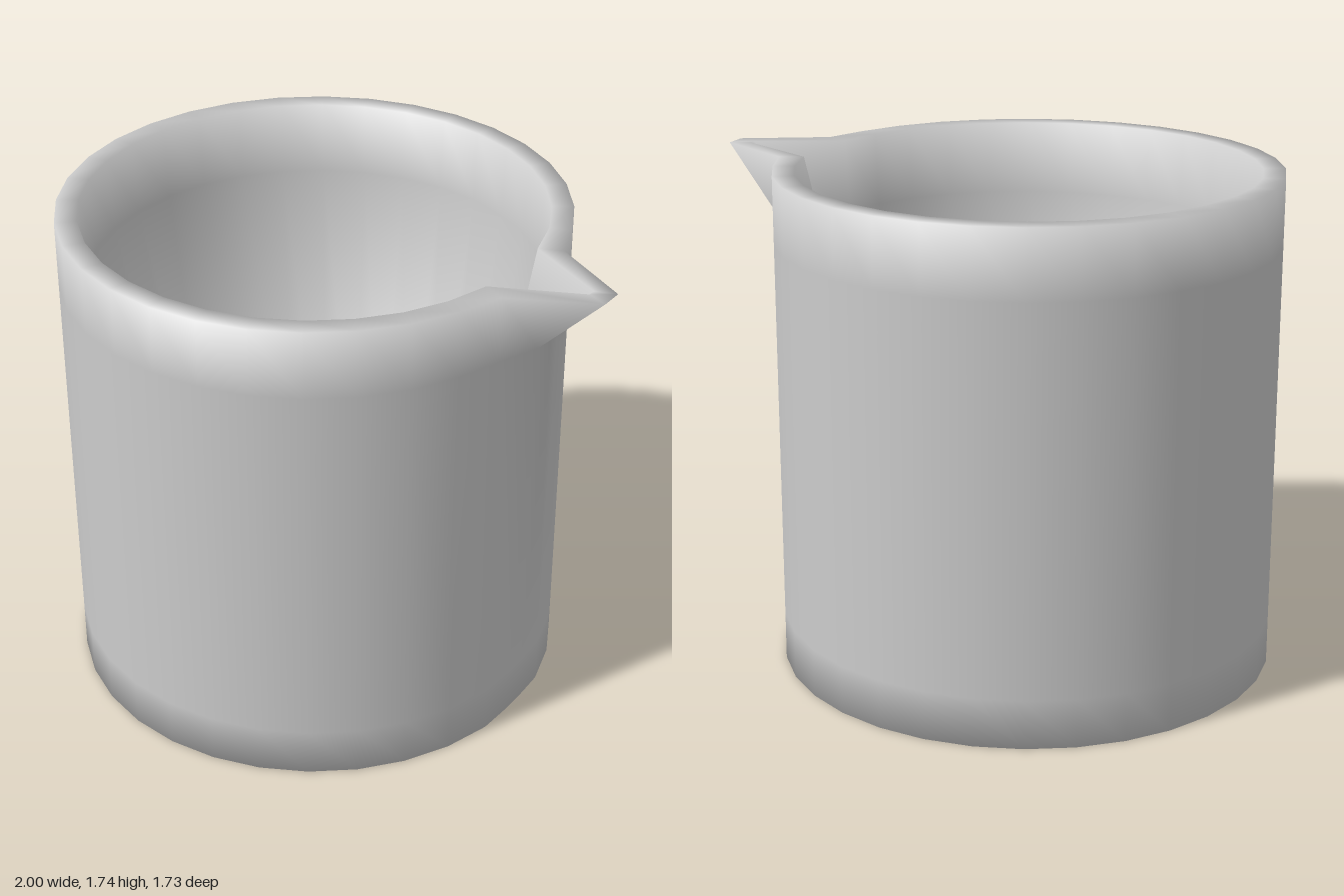
import * as THREE from 'three';

const SIDES = 32;
const CENTRE_X = -0.135;

// One horizontal loop of the beaker wall. The two points of the lip sit at
// lipX, +-lipW; the neighbouring pair is widened by "spread" to flare the spout.
function loop(y, radius, lipX, lipW, spread = 0) {
  const points = [[lipX, y, lipW]];
  for (let i = 1; i < SIDES; i++) {
    const a = (i / SIDES) * Math.PI * 2;
    const beside = i === 1 ? 1 : i === SIDES - 1 ? -1 : 0;
    points.push([
      CENTRE_X + Math.cos(a) * radius + Math.abs(beside) * spread * 0.3,
      y,
      Math.sin(a) * radius + beside * spread,
    ]);
  }
  points.push([lipX, y, -lipW]);
  return points;
}

// Smooth normals in which every face counts equally, so edges look softly rounded.
function softNormals(geometry) {
  const position = geometry.attributes.position;
  const index = geometry.index.array;
  const sums = Array.from({ length: position.count }, () => new THREE.Vector3());
  const corner = (i) => new THREE.Vector3().fromBufferAttribute(position, index[i]);
  const normal = new THREE.Vector3();
  for (let i = 0; i < index.length; i += 3) {
    new THREE.Triangle(corner(i), corner(i + 1), corner(i + 2)).getNormal(normal);
    for (let c = 0; c < 3; c++) sums[index[i + c]].add(normal);
  }
  const normals = sums.flatMap((v) => v.normalize().toArray());
  geometry.setAttribute('normal', new THREE.Float32BufferAttribute(normals, 3));
}

// Skins the loops from the outer base, over the rim, down to the inner floor.
function skin(loops, start, end) {
  const n = loops[0].length;
  const positions = [...loops.flat(), start, end].flat();
  const first = loops.length * n;
  const last = first + 1;
  const top = first - n;
  const index = [];
  for (let j = 0; j < n; j++) {
    const k = (j + 1) % n;
    index.push(first, j, k);
    for (let a = j, b = k; a < top; a += n, b += n) {
      index.push(a, a + n, b + n, a, b + n, b);
    }
    index.push(top + j, last, top + k);
  }
  const geometry = new THREE.BufferGeometry();
  geometry.setAttribute('position', new THREE.Float32BufferAttribute(positions, 3));
  geometry.setIndex(index);
  softNormals(geometry);
  return geometry;
}

export function createModel() {
  const group = new THREE.Group();
  group.name = 'beaker';

  const floorY = 0.17;
  const loops = [
    // outer wall
    loop(0, 0.865, 0.72, 0.04),
    loop(0.17, 0.865, 0.725, 0.04),
    loop(1.5, 0.865, 0.77, 0.04, 0.01),
    // rim with pouring lip
    loop(1.735, 0.865, 1.0, 0.04, 0.02),
    loop(1.735, 0.79, 0.93, 0.012),
    // inner wall, tapering down to the floor
    loop(1.48, 0.775, 0.66, 0.012),
    loop(floorY, 0.58, 0.45, 0.012),
  ];
  const geometry = skin(loops, [CENTRE_X, 0, 0], [CENTRE_X, floorY, 0]);
  const body = new THREE.Mesh(geometry, new THREE.MeshStandardMaterial({ color: 0xcccccc }));
  body.name = 'beakerBody';
  group.add(body);
  return group;
}
